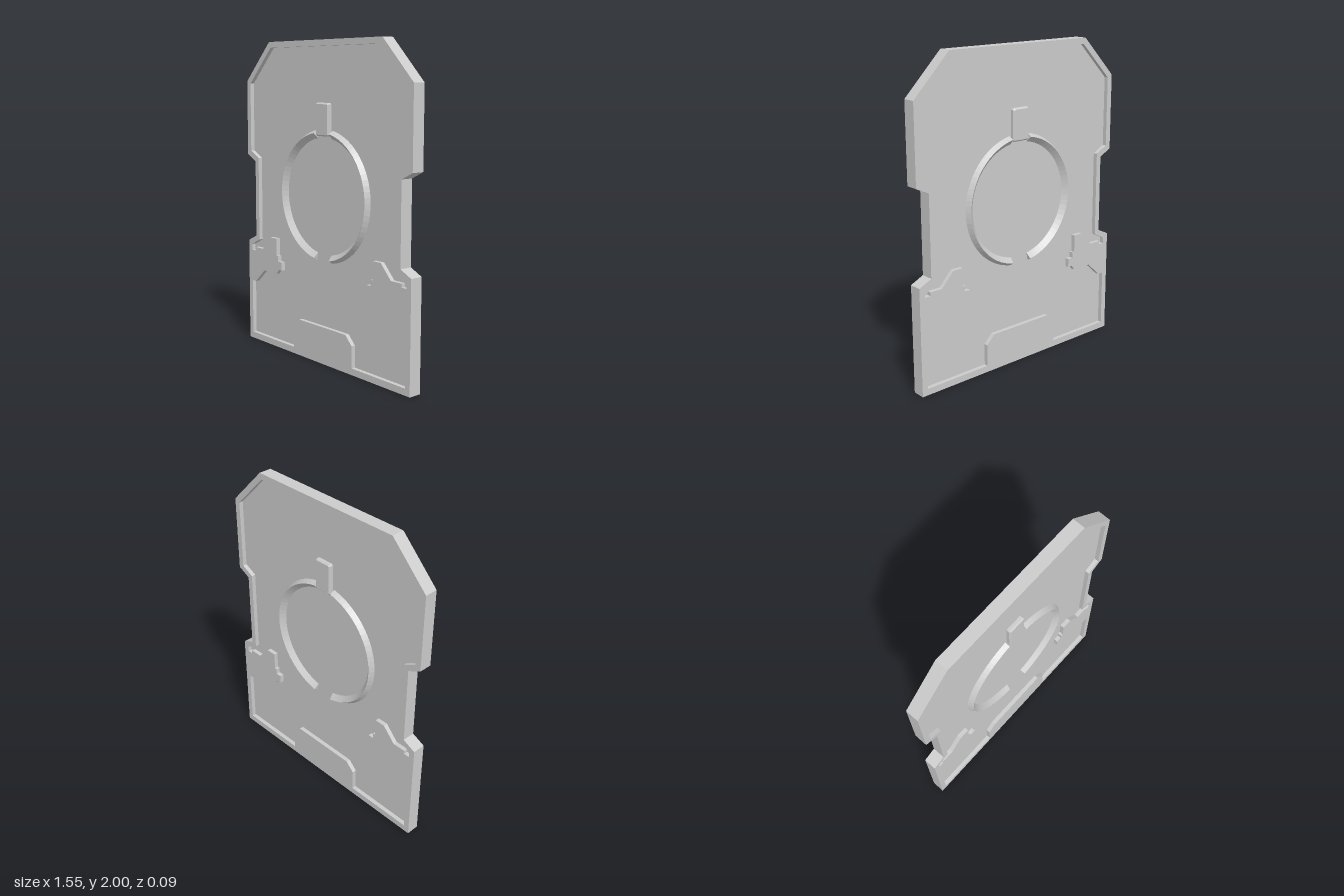
import * as THREE from 'three';

const RIM = 0.041;    // half thickness of the rim and flush plates
const PANEL = 0.014;  // half thickness of the recessed panel

const material = new THREE.MeshStandardMaterial({ color: 0xcccccc, flatShading: true });
const doubleSided = new THREE.MeshStandardMaterial({ color: 0xcccccc, flatShading: true, side: THREE.DoubleSide });

const toPoints = (list) => list.map(([x, y]) => new THREE.Vector2(x, y));
const flipX = (list) => list.map(([x, y]) => [-x, y]).reverse();
const mirrored = (half) => toPoints([...half, ...flipX(half)]);

// Plate centred on z = 0, with an optional chamfered edge
function plate(name, shape, half, bevel = 0) {
  const geometry = new THREE.ExtrudeGeometry(shape, {
    depth: 2 * (half - bevel), bevelEnabled: bevel > 0, bevelThickness: bevel,
    bevelSize: bevel, bevelOffset: -bevel, bevelSegments: 1,
  });
  geometry.translate(0, 0, bevel - half);
  const mesh = new THREE.Mesh(geometry, material);
  mesh.name = name;
  return mesh;
}

// One half of the split ring, ridged on both faces
function ringArc(name, start, length) {
  const group = new THREE.Group();
  group.name = name;
  const profile = toPoints([
    [0.362, -PANEL], [0.394, -0.045], [0.413, -PANEL],
    [0.413, PANEL], [0.394, 0.045], [0.362, PANEL],
  ]);
  const sweep = new THREE.LatheGeometry([...profile, profile[0].clone()], 32, start, length);
  sweep.rotateX(Math.PI / 2);
  group.add(new THREE.Mesh(sweep, doubleSided));
  for (const angle of [start, start + length]) {
    const cap = new THREE.ShapeGeometry(new THREE.Shape(profile));
    cap.rotateX(Math.PI / 2).rotateZ(angle - Math.PI / 2);
    group.add(new THREE.Mesh(cap, doubleSided));
  }
  group.children.forEach((mesh) => { mesh.name = name + 'Surface'; });
  group.position.y = 1.053;
  return group;
}

export function createModel() {
  const model = new THREE.Group();
  model.name = 'notchedPlate';

  // Outer rim and recessed panel
  const outer = mirrored([
    [0.775, 0], [0.775, 0.68], [0.69, 0.72], [0.69, 1.223],
    [0.775, 1.265], [0.775, 1.75], [0.527, 2],
  ]);
  const inner = mirrored([
    [0.738, 0.042], [0.738, 0.655], [0.655, 0.698], [0.655, 1.247],
    [0.738, 1.29], [0.738, 1.735], [0.511, 1.963],
  ]);
  const rimShape = new THREE.Shape(outer);
  rimShape.holes.push(new THREE.Path(inner));
  model.add(plate('rim', rimShape, RIM));
  model.add(plate('panel', new THREE.Shape(inner), PANEL));

  // Stepped side plates joined to the rim
  const stepped = [
    [0.738, 0.405], [0.738, 0.617], [0.7, 0.617], [0.7, 0.64], [0.615, 0.64],
    [0.53, 0.73], [0.463, 0.73], [0.463, 0.617], [0.447, 0.617], [0.447, 0.58],
    [0.41, 0.58], [0.41, 0.525], [0.442, 0.525], [0.465, 0.495], [0.6, 0.495], [0.7, 0.405],
  ];
  model.add(plate('leftSidePlate', new THREE.Shape(toPoints(stepped)), RIM));
  model.add(plate('rightSidePlate', new THREE.Shape(toPoints(flipX(stepped))), RIM));

  // Bottom tab joined to the rim
  const tab = mirrored([[0.282, 0.042], [0.282, 0.18], [0.225, 0.237]]);
  model.add(plate('bottomTab', new THREE.Shape(tab), RIM));

  // Small block above the ring
  const block = mirrored([[0.052, 1.424], [0.061, 1.433], [0.061, 1.616], [0.052, 1.625]]);
  model.add(plate('topBlock', new THREE.Shape(block), RIM, 0.008));

  // Split ring
  const gap = 0.18;
  model.add(ringArc('leftRingArc', gap, Math.PI - 2 * gap));
  model.add(ringArc('rightRingArc', Math.PI + gap, Math.PI - 2 * gap));

  return model;
}
